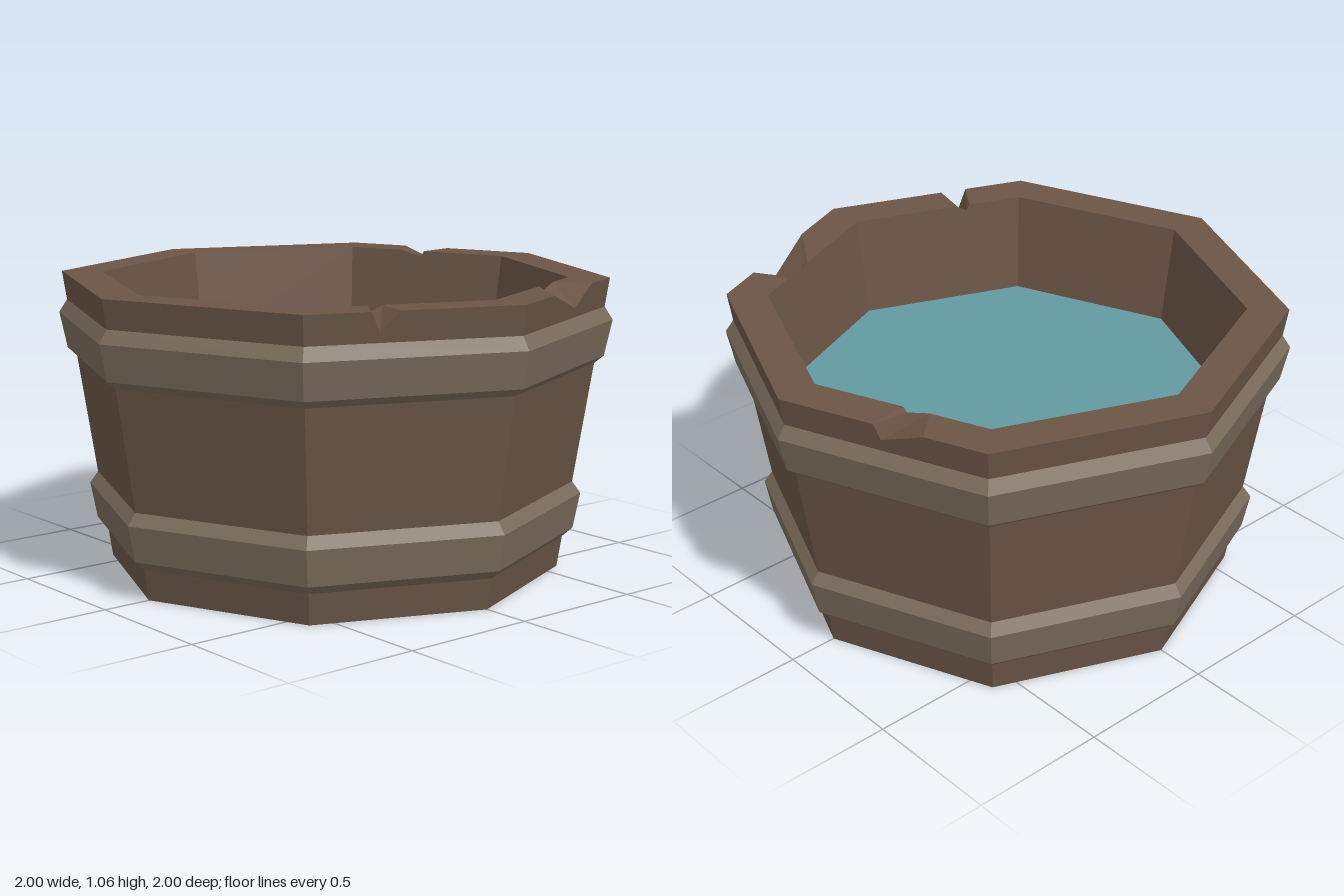
import * as THREE from 'three';

const SIDES = 8, HEIGHT = 1.06, WATER_Y = 0.7;
const outerR = y => 0.82 + 0.157 * y;
const innerR = y => 0.84 + 0.14 * (y - HEIGHT);

// Chips in the rim, by side: [outer t, inner t, outer drop, inner drop], t running along the side
const CHIPS = {
  0: [[0.31, 0.57, 0, 0], [0.59, 0.64, 0.07, 0.02], [0.76, 0.78, 0, 0]],
  2: [[0.46, 0.51, 0, 0], [0.49, 0.53, 0.06, 0.02], [0.7, 0.66, 0, 0]],
  7: [[0.3, 0.31, 0, 0], [0.34, 0.33, 0.07, 0.02], [0.43, 0.39, 0, 0]],
};

// Point at fraction t along one side of an octagon of radius r
function sidePoint(side, t, r, y) {
  const corner = k => {
    const a = (k * 2 * Math.PI) / SIDES;
    return new THREE.Vector3(Math.sin(a) * r, y, Math.cos(a) * r);
  };
  return corner(side).lerp(corner(side + 1), t);
}

// Wall: cross-sections lofted around the tub, with extra ones at each chip
function wallGeometry() {
  const sections = [];
  for (let side = 0; side < SIDES; side++) {
    for (const [to, ti, dropO, dropI] of [[0, 0, 0, 0], ...(CHIPS[side] || [])]) {
      const yo = HEIGHT - dropO, yi = HEIGHT - dropI;
      sections.push([
        sidePoint(side, to, outerR(0), 0),
        sidePoint(side, to, outerR(yo), yo),
        sidePoint(side, ti, innerR(yi), yi),
        sidePoint(side, ti, innerR(WATER_Y), WATER_Y),
      ]);
    }
  }
  const points = [];
  sections.forEach((s, i) => {
    const n = sections[(i + 1) % sections.length];
    for (let j = 0; j < 3; j++) {
      points.push(s[j], n[j], n[j + 1], s[j], n[j + 1], s[j + 1]);
    }
  });
  const geometry = new THREE.BufferGeometry().setFromPoints(points);
  geometry.computeVertexNormals();
  return geometry;
}

export function createModel() {
  const group = new THREE.Group();
  group.name = 'waterTub';
  const material = color => new THREE.MeshStandardMaterial({ color, flatShading: true });
  const wood = material(0x6b5546), metal = material(0x7a6c5b), water = material(0x629aa1);

  const add = (name, geometry, mat) => {
    const mesh = new THREE.Mesh(geometry, mat);
    mesh.name = name;
    group.add(mesh);
    return mesh;
  };

  add('tubWall', wallGeometry(), wood);
  add('tubBottom', new THREE.CircleGeometry(outerR(0), SIDES), wood).rotation.x = Math.PI / 2;

  // Bevelled hoops around the wall
  const hoop = (name, profile) =>
    add(name, new THREE.LatheGeometry(profile.map(p => new THREE.Vector2(...p)), SIDES), metal);
  hoop('lowerHoop', [[0.835, 0.11], [0.875, 0.145], [0.9, 0.275], [0.868, 0.32]]);
  hoop('upperHoop', [[0.935, 0.75], [0.972, 0.78], [1, 0.91], [0.968, 0.96]]);

  // Water surface
  const surface = add('water', new THREE.CircleGeometry(innerR(WATER_Y), SIDES), water);
  surface.rotation.x = -Math.PI / 2;
  surface.position.y = WATER_Y;

  return group;
}
